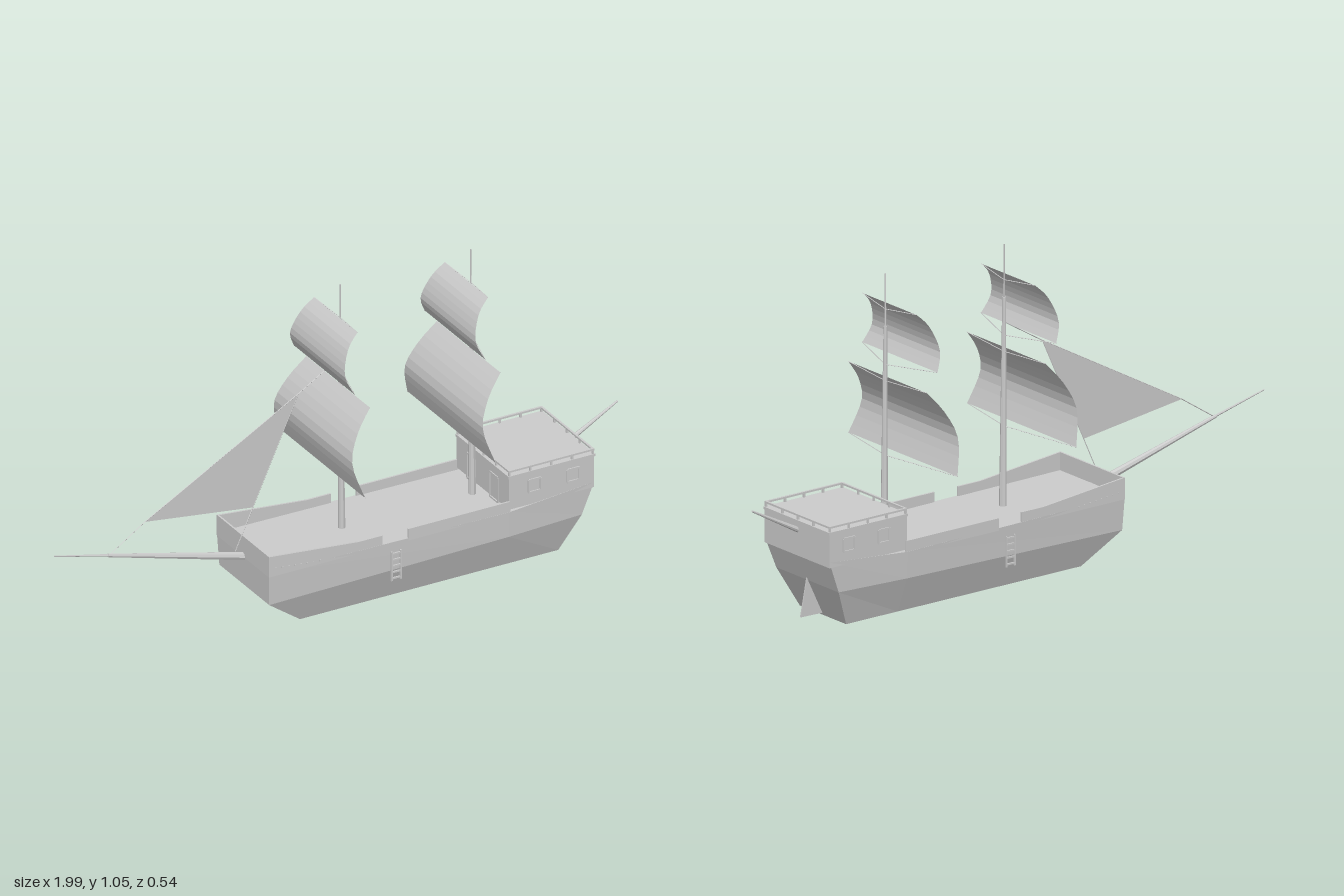
import * as THREE from 'three';

const mat = new THREE.MeshStandardMaterial({ color: 0xcccccc, flatShading: true, side: THREE.DoubleSide });
const V = (x, y, z = 0) => new THREE.Vector3(x, y, z);

export function createModel() {
  const ship = new THREE.Group();
  ship.name = 'sailingShip';

  const add = (name, geometry, parent = ship) => {
    const mesh = new THREE.Mesh(geometry, mat);
    mesh.name = name;
    parent.add(mesh);
    return mesh;
  };
  const group = (name, parent = ship) => {
    const g = new THREE.Group();
    g.name = name;
    parent.add(g);
    return g;
  };
  const box = (name, w, h, d, x, y, z, parent) => {
    const m = add(name, new THREE.BoxGeometry(w, h, d), parent);
    m.position.set(x, y, z);
    return m;
  };
  // Tapered round spar between two points
  const spar = (name, a, b, ra, rb, parent, sides = 8) => {
    const m = add(name, new THREE.CylinderGeometry(rb, ra, a.distanceTo(b), sides), parent);
    m.position.copy(a).lerp(b, 0.5);
    m.quaternion.setFromUnitVectors(V(0, 1, 0), b.clone().sub(a).normalize());
    return m;
  };
  const rope = (a, b, parent) => spar('rope', a, b, 0.0015, 0.0015, parent, 4);
  // Flat outline in x/y, extruded about a given z
  const panel = (name, pts, thickness, z, parent) => {
    const shape = new THREE.Shape(pts.map(([x, y]) => new THREE.Vector2(x, y)));
    const geo = new THREE.ExtrudeGeometry(shape, { depth: thickness, bevelEnabled: false });
    return add(name, geo.translate(0, 0, z - thickness / 2), parent);
  };
  // Surface through rows of points, all of equal length
  const loft = (rows) => {
    const n = rows[0].length, index = [];
    for (let i = 0; i < rows.length - 1; i++) {
      for (let j = 0; j < n - 1; j++) {
        const a = i * n + j, b = a + n;
        index.push(a, a + 1, b, b, a + 1, b + 1);
      }
    }
    const geo = new THREE.BufferGeometry().setFromPoints(rows.flat());
    geo.setIndex(index);
    geo.computeVertexNormals();
    return geo;
  };

  // Hull: half sections [x, y, half width], keel to deck, at bow, waist and stern
  const half = [
    [[-0.2, 0, 0.115], [-0.33, 0.1, 0.153], [-0.335, 0.212, 0.16]],
    [[0.51, 0, 0.115], [0.51, 0.118, 0.16], [0.51, 0.205, 0.164]],
    [[0.71, 0, 0.115], [0.77, 0.125, 0.155], [0.81, 0.23, 0.161]],
  ];
  const sections = half.map((s) => {
    const left = s.map(([x, y, z]) => V(x, y, z));
    const right = s.map(([x, y, z]) => V(x, y, -z)).reverse();
    return [...left, ...right, left[0]];
  });
  const hull = group('hull');
  add('hullShellAndDeck', loft(sections), hull);
  for (const [name, s] of [['bowFace', half[0]], ['transom', half[2]]]) {
    add(name, loft(s.map(([x, y, z]) => [V(x, y, z), V(x, y, -z)])), hull);
  }

  // Bulwarks with a boarding gap amidships
  const foreWall = [[-0.335, 0.2], [0.155, 0.2], [0.155, 0.205], [0.065, 0.205], [0.065, 0.24], [-0.02, 0.24], [-0.335, 0.27]];
  const waistWall = [[0.155, 0.2], [0.515, 0.2], [0.515, 0.24], [0.155, 0.24]];
  for (const side of [1, -1]) {
    panel('foreBulwark', foreWall, 0.006, side * 0.158, hull);
    panel('waistBulwark', waistWall, 0.006, side * 0.16, hull);
    // Scuppers along the bow
    for (let i = 0; i < 8; i++) {
      box('scupper', 0.006, 0.005, 0.004, -0.31 + i * 0.022, 0.226 - i * 0.002, side * 0.161, hull);
    }
    // Boarding ladder
    const ladder = group('ladder', hull);
    for (const x of [0.095, 0.127]) box('ladderRail', 0.005, 0.1, 0.005, x, 0.127, side * 0.164, ladder);
    for (let i = 0; i < 5; i++) box('rung', 0.032, 0.005, 0.005, 0.111, 0.085 + i * 0.021, side * 0.164, ladder);
  }
  box('bowBulwark', 0.006, 0.07, 0.32, -0.332, 0.235, 0, hull);

  // Stern cabin with windows, doors and railing
  const cabin = group('sternCabin');
  box('cabinBody', 0.3, 0.113, 0.322, 0.66, 0.2685, 0, cabin);
  box('cabinRoofEdge', 0.306, 0.008, 0.326, 0.66, 0.323, 0, cabin);
  const frame = (name, w, h, x, y, z, turn, parent) => {
    const f = group(name, parent);
    for (const s of [1, -1]) {
      box('frameSide', 0.006, h, 0.006, s * w / 2, 0, 0, f);
      box('frameBar', w, 0.006, 0.006, 0, s * h / 2, 0, f);
    }
    f.position.set(x, y, z);
    f.rotation.y = turn;
  };
  for (const side of [1, -1]) {
    for (const x of [0.6, 0.735]) frame('window', 0.042, 0.042, x, 0.275, side * 0.162, 0, cabin);
    frame('door', 0.05, 0.085, 0.51, 0.25, side * 0.07, Math.PI / 2, cabin);
  }
  const railing = group('railing', cabin);
  for (const side of [1, -1]) {
    box('sideRail', 0.3, 0.006, 0.007, 0.66, 0.342, side * 0.158, railing);
    for (let i = 0; i < 5; i++) box('railPost', 0.006, 0.016, 0.006, 0.513 + i * 0.0735, 0.333, side * 0.158, railing);
    const x = 0.66 + side * 0.147;
    box('endRail', 0.007, 0.006, 0.32, x, 0.342, 0, railing);
    for (const z of [-0.077, 0, 0.077]) box('railPost', 0.006, 0.016, 0.006, x, 0.333, z, railing);
  }

  // Rudder
  panel('rudder', [[0.71, 0.008], [0.797, 0.01], [0.772, 0.137]], 0.005, 0);

  // Masts, each with two billowing square sails tied back to the mast
  const sails = [
    { name: 'topSail', curve: [[-0.008, 0.948], [-0.048, 0.905], [-0.072, 0.83], [-0.048, 0.768]], wTop: 0.133, wLow: 0.187, tieTop: 0.935, tieLow: 0.757 },
    { name: 'mainSail', curve: [[0, 0.714], [-0.055, 0.645], [-0.087, 0.56], [-0.06, 0.453]], wTop: 0.195, wLow: 0.271, tieTop: 0.704, tieLow: 0.465 },
  ];
  const buildMast = (name, x) => {
    const mast = group(name);
    spar('lowerMast', V(0.013, 0.2), V(0.008, 0.88), 0.012, 0.006, mast);
    spar('upperMast', V(0.008, 0.88), V(0.008, 1.05), 0.003, 0.002, mast, 6);
    for (const s of sails) {
      const pts = new THREE.SplineCurve(s.curve.map(([a, b]) => new THREE.Vector2(a, b))).getSpacedPoints(10);
      const top = pts[0], low = pts[10];
      const rows = pts.map((p) => {
        const w = THREE.MathUtils.mapLinear(p.y, top.y, low.y, s.wTop, s.wLow);
        return [V(p.x, p.y, w), V(p.x, p.y, -w)];
      });
      add(s.name, loft(rows), mast);
      for (const k of [0, 1]) {
        rope(rows[0][k], V(0.008, s.tieTop), mast);
        rope(rows[10][k], V(0.009, s.tieLow), mast);
      }
    }
    mast.position.x = x;
  };
  buildMast('foreMast', 0);
  buildMast('aftMast', 0.46);

  // Bowsprit, stern spar and triangular jib with its stays
  spar('bowsprit', V(-0.32, 0.197), V(-0.81, 0.328), 0.014, 0.006);
  spar('bowspritTip', V(-0.8, 0.326), V(-1, 0.375), 0.004, 0.002, ship, 6);
  spar('sternSpar', V(0.79, 0.285), V(0.985, 0.39), 0.009, 0.003);
  const peak = V(-0.14, 0.71), tack = V(-0.68, 0.41), clew = V(-0.3, 0.36);
  panel('jib', [peak, tack, clew].map((p) => [p.x, p.y]), 0.002, 0);
  rope(V(0.008, 0.8), peak);
  rope(peak, tack);
  rope(tack, V(-0.805, 0.328));
  rope(peak, clew);
  rope(clew, V(-0.367, 0.212));

  return ship;
}
